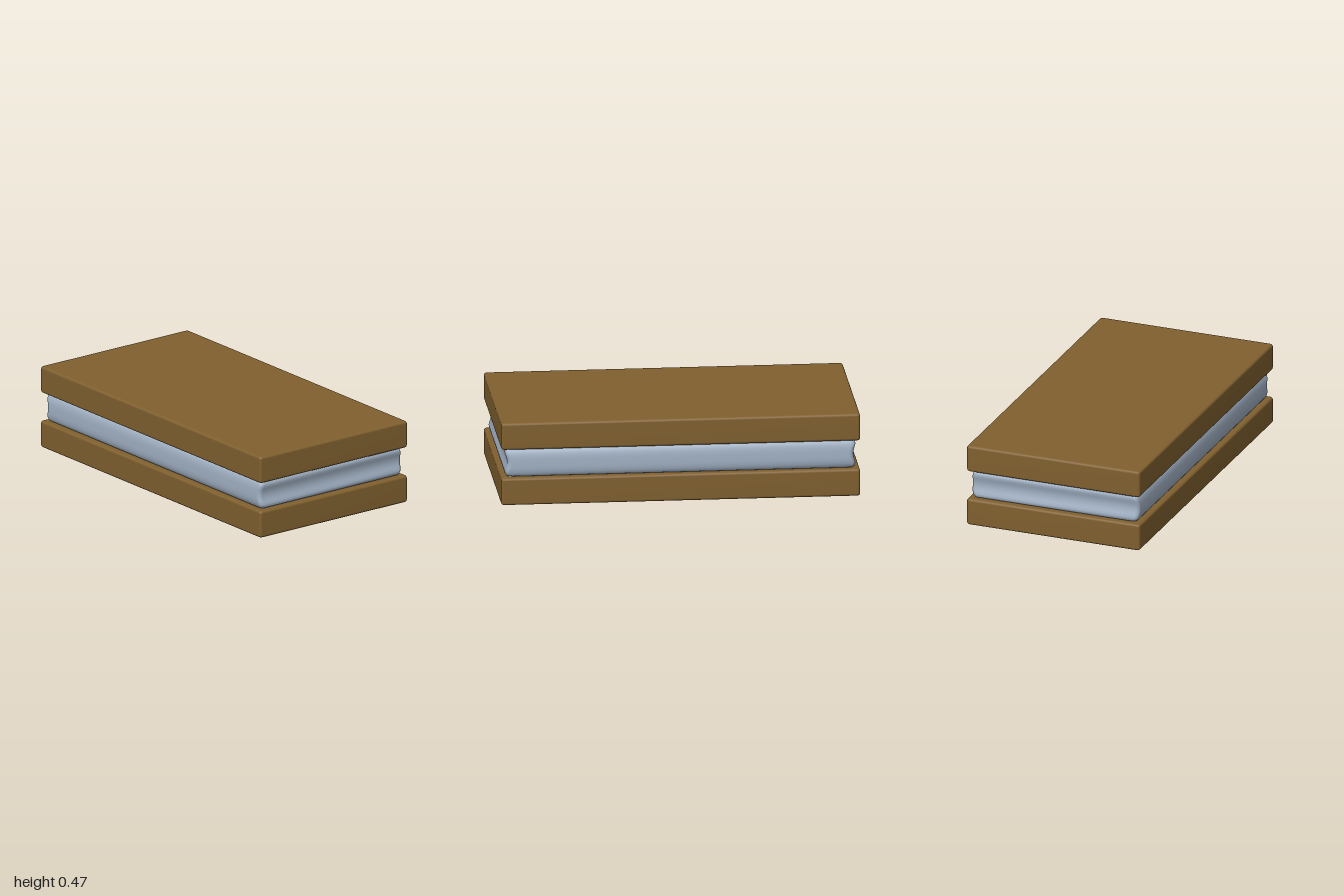
import * as THREE from 'three';

const brown = new THREE.MeshStandardMaterial({ name: 'brown wood', color: 0x80602f, side: THREE.DoubleSide });
const grey = new THREE.MeshStandardMaterial({ name: 'pale blue grey', color: 0xa3b3c6, side: THREE.DoubleSide });

const CORNER_STEPS = 5;

// Points of a rounded rectangle, running from +x towards +z.
function ring([hx, hz, y, r]) {
  const pts = [];
  [[1, 1], [-1, 1], [-1, -1], [1, -1]].forEach(([sx, sz], q) => {
    for (let i = 0; i <= CORNER_STEPS; i++) {
      const a = (q + i / CORNER_STEPS) * Math.PI / 2;
      pts.push([sx * (hx - r) + r * Math.cos(a), y, sz * (hz - r) + r * Math.sin(a)]);
    }
  });
  return pts;
}

// Skin through stacked rounded rectangles, each [halfX, halfZ, y, cornerRadius].
function loft(name, sections, material) {
  const rings = sections.map(ring);
  const n = rings[0].length;
  const index = [];
  for (let j = 0; j < rings.length - 1; j++) {
    for (let i = 0; i < n; i++) {
      const a = j * n + i, b = j * n + (i + 1) % n;
      index.push(a, a + n, b, b, a + n, b + n);
    }
  }
  const geometry = new THREE.BufferGeometry();
  geometry.setAttribute('position', new THREE.Float32BufferAttribute(rings.flat(2), 3));
  geometry.setIndex(index);
  geometry.computeVertexNormals();
  const mesh = new THREE.Mesh(geometry, material);
  mesh.name = name;
  return mesh;
}

// Quarter-round edge sections from angle a0 to a1 (degrees) around height y.
function edge(y, a0, a1, r = 0.014) {
  return [0, 1, 2, 3, 4].map((i) => {
    const a = THREE.MathUtils.degToRad(a0 + (a1 - a0) * i / 4);
    const inset = r * (1 - Math.cos(a));
    return [1 - inset, 0.517 - inset, y + r * Math.sin(a), 0.016 - inset * 0.5];
  });
}

export function createModel() {
  const model = new THREE.Group();
  model.name = 'hollowCase';

  // Open lower frame with an inward lip on top
  model.add(loft('lowerFrame', [
    ...edge(0.014, -90, 0),
    ...edge(0.141, 0, 90),
    [0.955, 0.472, 0.155, 0.01],
  ], brown));

  // Upper frame, closed on top
  model.add(loft('upperFrame', [
    [0.955, 0.472, 0.319, 0.01],
    ...edge(0.333, -90, 0),
    ...edge(0.459, 0, 90),
    [0.97, 0.487, 0.473, 0.008],
    [0, 0, 0.473, 0],
  ], brown));

  // Middle band: long sides bulge out, short sides are hollowed
  const half = [
    [0.955, 0.472, 0.155], [0.968, 0.484, 0.16], [0.975, 0.491, 0.17],
    [0.976, 0.496, 0.183], [0.971, 0.499, 0.2], [0.966, 0.5, 0.217],
  ];
  const mid = 0.237;
  const sections = [
    ...half, [0.964, 0.5, mid],
    ...half.slice().reverse().map(([x, z, y]) => [x, z, 2 * mid - y]),
  ].map((s) => [...s, 0.025]);
  model.add(loft('middleBand', sections, grey));

  return model;
}
